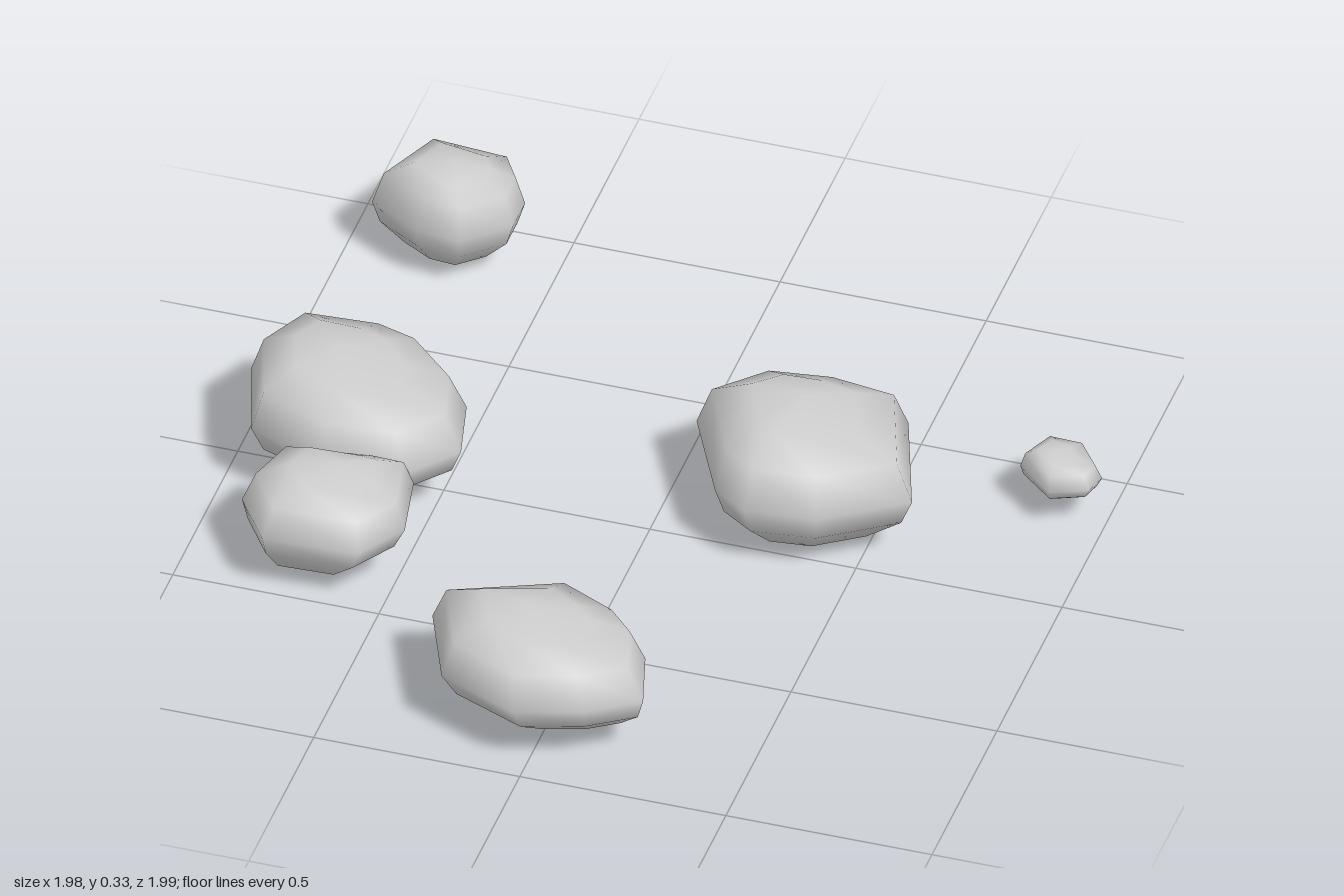
import * as THREE from 'three';

const lerp = THREE.MathUtils.lerp;

// Profile shared by all rocks, crown to foot:
// [outline scale, height from foot (0) to crown (1), whether it narrows to the crown]
const PROFILE = [[0.5, 0.95, true], [0.86, 0.84, true], [1, 0.55, true], [0.9, 0.34, false], [0.58, 0.12, false]];
const LEAN = -0.05; // shoulders drop slightly towards +x

// Loft scaled copies of the widest outline, sharing vertices so the surface shades smoothly
function rockGeometry(crown, foot, outline) {
  const n = outline.length;
  const positions = [...crown];
  for (const [scale, level, upper] of PROFILE) {
    const [cx, , cz] = upper ? crown : foot;
    for (const [px, pz] of outline) {
      const lean = upper ? LEAN * (px - cx) * scale * (1 - scale) * 4 : 0;
      positions.push(lerp(cx, px, scale), lerp(foot[1], crown[1], level) + lean, lerp(cz, pz, scale));
    }
  }
  positions.push(...foot);

  const last = 1 + PROFILE.length * n;
  const index = [];
  for (let i = 0; i < n; i++) {
    const j = (i + 1) % n;
    index.push(0, 1 + j, 1 + i);
    for (let u = 1; u + n < last; u += n) {
      const l = u + n;
      if (l === last) break;
      index.push(u + i, u + j, l + i, u + j, l + j, l + i);
    }
    index.push(last, last - n + i, last - n + j);
  }
  const geometry = new THREE.BufferGeometry();
  geometry.setAttribute('position', new THREE.Float32BufferAttribute(positions, 3));
  geometry.setIndex(index);
  geometry.computeVertexNormals();
  return geometry;
}

export function createModel() {
  const group = new THREE.Group();
  group.name = 'scatteredRocks';
  const stone = new THREE.MeshStandardMaterial({ color: 0xcccccc });
  stone.name = 'stoneGrey';

  // Crown and foot are [x, y, z]; the outline is [x, z], clockwise from above
  const addRock = (name, crown, foot, outline) => {
    const mesh = new THREE.Mesh(rockGeometry(crown, foot, outline), stone);
    mesh.name = name;
    group.add(mesh);
  };

  addRock('largeLeftRock', [-0.76, 0.34, -0.04], [-0.68, 0.03, -0.01], [
    [-0.99, -0.07], [-0.92, -0.22], [-0.72, -0.24], [-0.61, -0.21], [-0.47, -0.08],
    [-0.43, 0.09], [-0.53, 0.21], [-0.72, 0.23], [-0.92, 0.15],
  ]);
  addRock('smallLeftRock', [-0.65, 0.28, 0.31], [-0.72, 0.04, 0.41], [
    [-0.87, 0.38], [-0.83, 0.24], [-0.6, 0.2], [-0.51, 0.2], [-0.475, 0.38], [-0.55, 0.5], [-0.78, 0.51],
  ]);
  addRock('largeRightRock', [0.32, 0.34, -0.18], [0.34, 0.01, -0.11], [
    [0.05, -0.2], [0.17, -0.33], [0.34, -0.36], [0.52, -0.34],
    [0.62, -0.05], [0.43, 0.08], [0.26, 0.1], [0.17, 0.04],
  ]);
  addRock('frontRock', [-0.05, 0.31, 0.74], [0.08, 0.03, 0.72], [
    [-0.31, 0.69], [-0.02, 0.555], [0.135, 0.625], [0.21, 0.7],
    [0.255, 0.86], [0.135, 0.94], [-0.02, 0.99], [-0.22, 0.905],
  ]);
  addRock('backRock', [-0.74, 0.29, -0.86], [-0.76, 0.02, -0.86], [
    [-0.93, -0.81], [-0.85, -1], [-0.64, -0.99], [-0.59, -0.91],
    [-0.59, -0.815], [-0.69, -0.725], [-0.8, -0.735],
  ]);
  addRock('pebble', [0.87, 0.18, -0.355], [0.86, 0.06, -0.37], [
    [0.79, -0.345], [0.83, -0.44], [0.92, -0.44], [0.985, -0.355], [0.97, -0.3], [0.885, -0.265],
  ]);
  return group;
}
